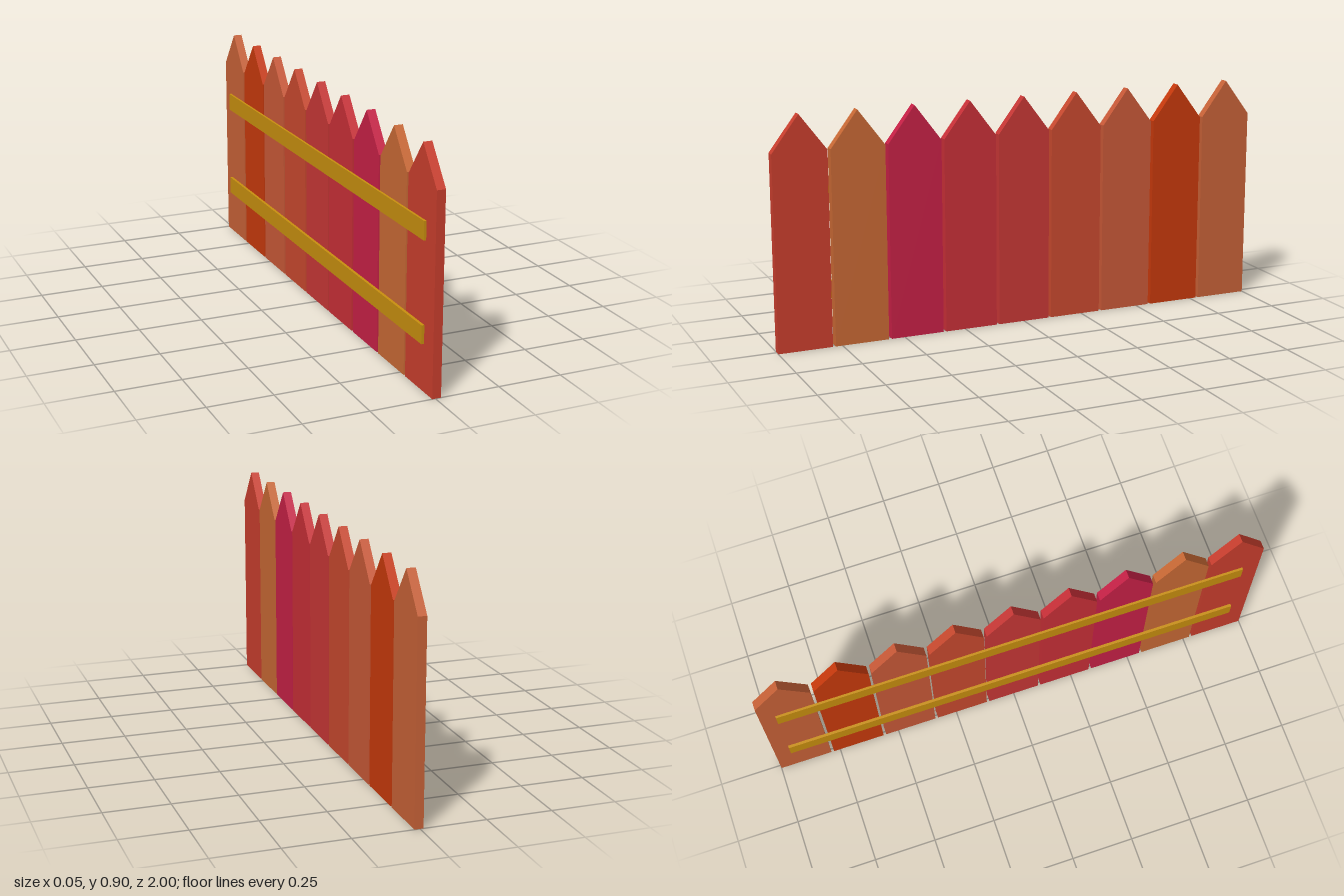
import * as THREE from 'three';

const PICKETS = 9, WIDTH = 0.212, THICK = 0.034, BACK = -0.0125;
const SHOULDER = 0.757, PEAK = 0.897;
// Picket colours from the +z end to the -z end
const COLORS = [0xcc3f2e, 0xcb6a35, 0xc92147, 0xcb3038, 0xca3836, 0xcb4a2f, 0xcb5a38, 0xca3a0c, 0xca6338];

function mesh(name, geometry, color) {
  const m = new THREE.Mesh(geometry, new THREE.MeshStandardMaterial({ color, flatShading: true }));
  m.name = name;
  return m;
}

// Board with a pointed top, its thickness running along x
function picketGeometry() {
  const h = WIDTH / 2;
  const shape = new THREE.Shape([
    new THREE.Vector2(-h, 0), new THREE.Vector2(h, 0), new THREE.Vector2(h, SHOULDER),
    new THREE.Vector2(0, PEAK), new THREE.Vector2(-h, SHOULDER),
  ]);
  return new THREE.ExtrudeGeometry(shape, { depth: THICK, bevelEnabled: false }).rotateY(Math.PI / 2);
}

export function createModel() {
  const fence = new THREE.Group();
  fence.name = 'picketFence';

  // Row of pickets with narrow gaps
  const geometry = picketGeometry();
  const first = 1 - WIDTH / 2;
  const pitch = (2 * first) / (PICKETS - 1);
  COLORS.forEach((color, i) => {
    const picket = mesh(`picket${i + 1}`, geometry, color);
    picket.position.set(BACK, 0, first - i * pitch);
    fence.add(picket);
  });

  // Two rails across the back of the pickets
  const rails = [['lowerRail', 0.215, 0.011], ['upperRail', 0.594, 0.009]];
  for (const [name, y, depth] of rails) {
    const rail = mesh(name, new THREE.BoxGeometry(depth, 0.07, 1.87), 0xca900f);
    rail.position.set(BACK - depth / 2, y, -0.005);
    fence.add(rail);
  }
  return fence;
}
